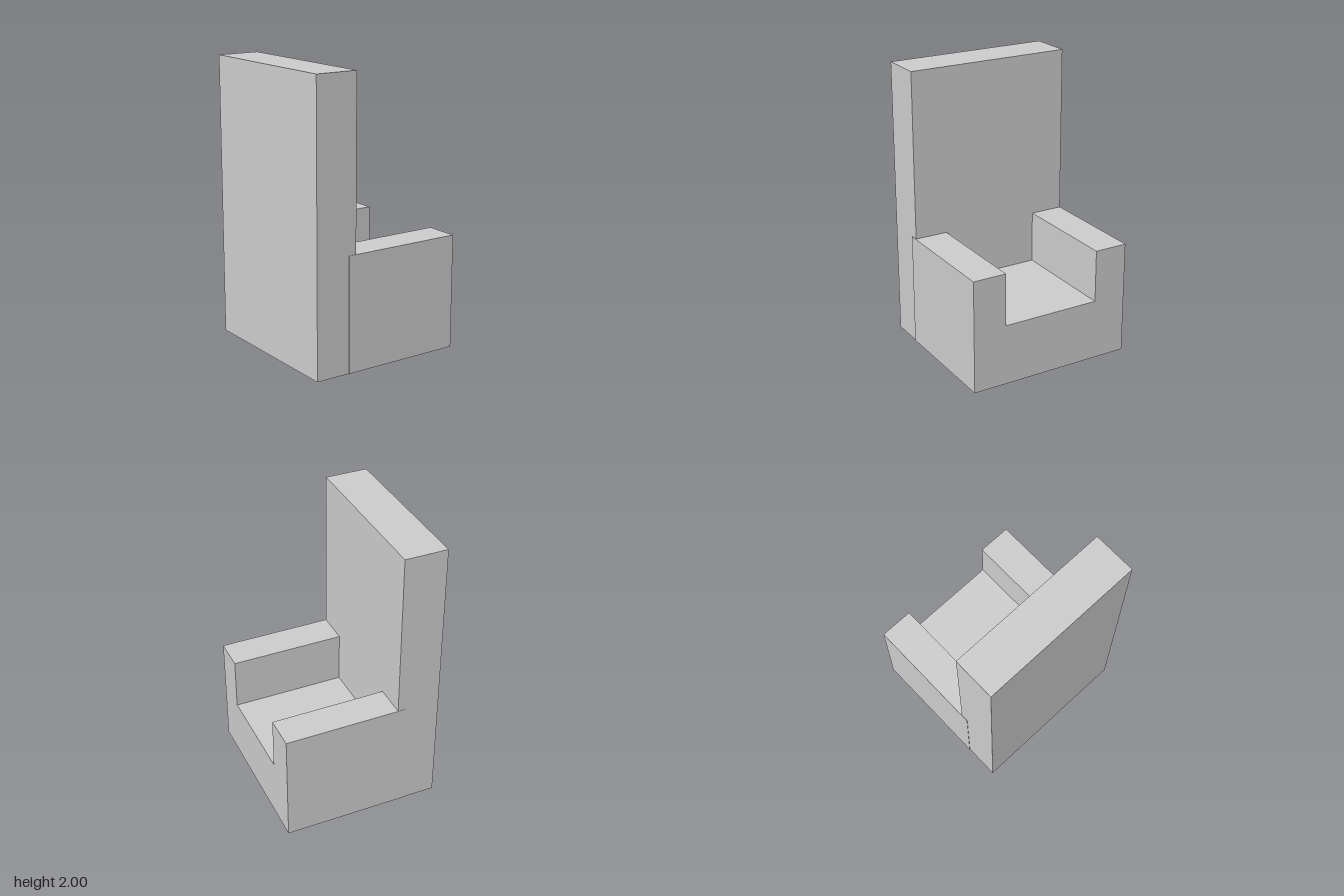
import * as THREE from 'three';

export function createModel() {
  const group = new THREE.Group();
  group.name = 'armchair';
  const material = new THREE.MeshStandardMaterial({ color: 0xcccccc, flatShading: true });

  const W = 0.597, ARM_TOP = 0.81, SEAT_TOP = 0.435, INNER = 0.356;
  const REAR = -0.56, SEAT_END = 0.31;

  // Seat and both arms: a U-shaped section extruded along z
  const section = new THREE.Shape([
    [-W, 0], [W, 0], [W, ARM_TOP], [INNER, ARM_TOP],
    [INNER, SEAT_TOP], [-INNER, SEAT_TOP], [-INNER, ARM_TOP], [-W, ARM_TOP],
  ].map(([x, y]) => new THREE.Vector2(x, y)));
  const seat = new THREE.Mesh(
    new THREE.ExtrudeGeometry(section, { depth: SEAT_END - REAR, bevelEnabled: false }),
    material);
  seat.name = 'seatWithArms';
  seat.position.z = REAR;
  group.add(seat);

  // Tall backrest slab, a hair narrower than the seat and overlapping its end
  const back = new THREE.Mesh(new THREE.BoxGeometry(1.187, 2, 0.305), material);
  back.name = 'backrest';
  back.position.set(-0.001, 1, 0.4075);
  group.add(back);

  return group;
}
